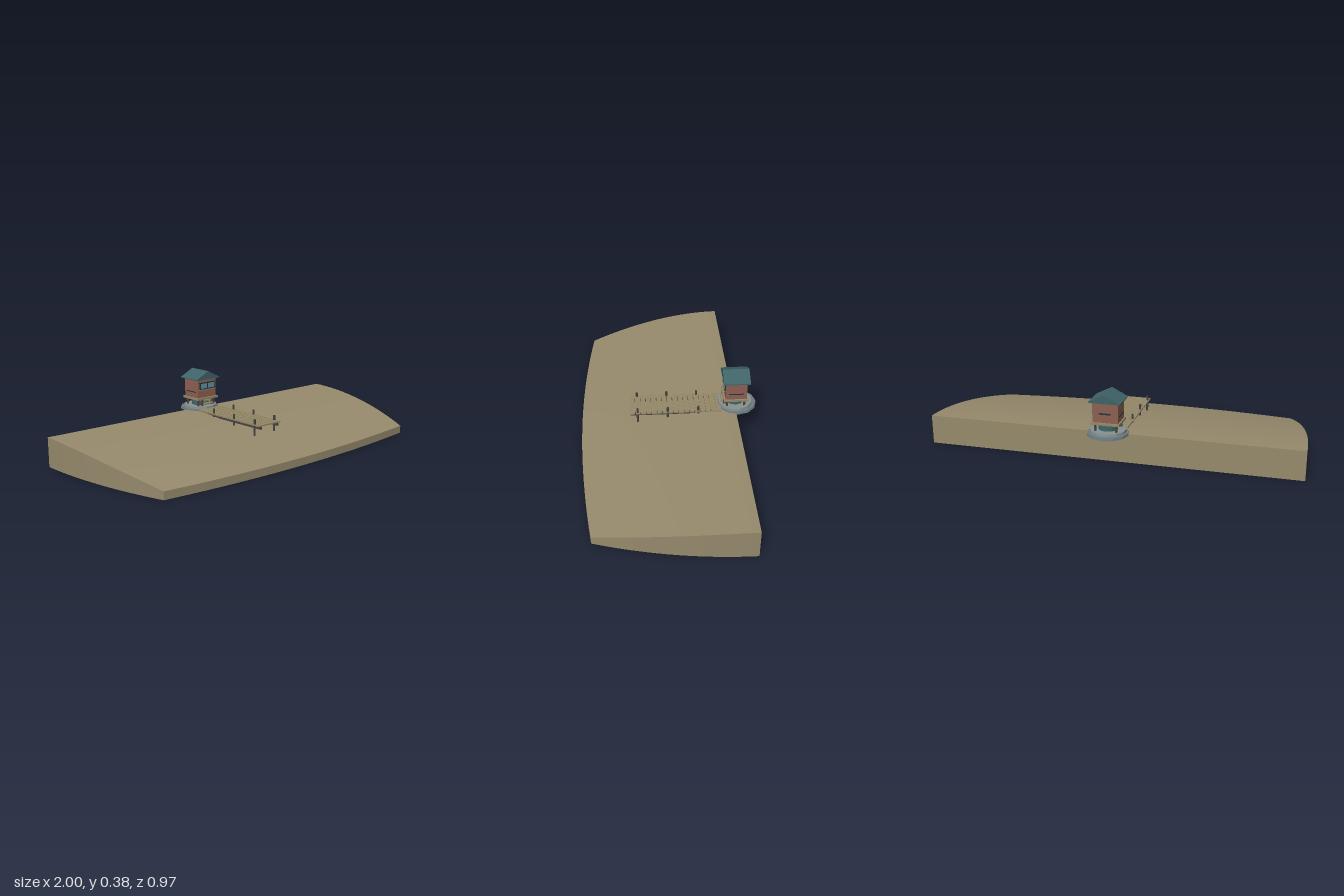
import * as THREE from 'three';
import { mergeGeometries, toCreasedNormals } from 'three/addons/utils/BufferGeometryUtils.js';

const mat = (name, color) => {
  const m = new THREE.MeshStandardMaterial({ color });
  m.name = name;
  return m;
};

// Grid of triangles over f(u, v); the surface faces along dv x du
function sheet(nu, nv, f) {
  const pos = [], idx = [];
  for (let i = 0; i <= nu; i++)
    for (let j = 0; j <= nv; j++) pos.push(...f(i / nu, j / nv));
  for (let i = 0; i < nu; i++)
    for (let j = 0; j < nv; j++) {
      const a = i * (nv + 1) + j, c = a + nv + 1;
      idx.push(a, a + 1, c, a + 1, c + 1, c);
    }
  const g = new THREE.BufferGeometry();
  g.setAttribute('position', new THREE.Float32BufferAttribute(pos, 3));
  g.setIndex(idx);
  return g;
}

// Slope height and outline: s runs across, t from back to front
const slopeY = (t) => 0.157 - 0.115 * Math.pow(t, 1.75);
const ground = (s, t, h) => {
  const u = s * 2 - 1;
  return [u * (1 - 0.13 * t * t), h * slopeY(t), -0.366 + t * (0.791 + 0.058 * (1 - u * u))];
};

export function createModel() {
  const M = {
    earth: mat('earth', 0x968a6c),
    plank: mat('plank wood', 0x958868),
    dark: mat('dark timber', 0x4a4442),
    stone: mat('stone', 0x6c7b80),
    paleStone: mat('pale stone', 0x84908f),
    wall: mat('red wall', 0x8e6052),
    roof: mat('teal roof', 0x3f6367),
    glass: mat('window glass', 0x5f92a8),
    slit: mat('dark trim', 0x22333a),
  };
  const model = new THREE.Group();
  const group = (name) => {
    const g = new THREE.Group();
    g.name = name;
    model.add(g);
    return g;
  };
  const add = (parent, name, geo, material, x = 0, y = 0, z = 0) => {
    const m = new THREE.Mesh(geo, material);
    m.name = name;
    m.position.set(x, y, z);
    parent.add(m);
    return m;
  };
  const box = (parent, name, material, w, h, d, x, y, z) =>
    add(parent, name, new THREE.BoxGeometry(w, h, d), material, x, y, z);

  // Sloping bank: top, underside and four walls
  const bank = mergeGeometries([
    sheet(32, 20, (u, v) => ground(u, v, 1)),
    sheet(20, 32, (u, v) => ground(v, u, 0)),
    sheet(1, 32, (u, v) => ground(v, 1, u)),
    sheet(32, 1, (u, v) => ground(u, 0, v)),
    sheet(20, 1, (u, v) => ground(1, u, v)),
    sheet(1, 20, (u, v) => ground(0, v, u)),
  ]);
  add(model, 'bank', toCreasedNormals(bank, 0.5), M.earth);

  // Boardwalk: planks, stringers and posts
  const walk = group('boardwalk');
  for (let i = 0; i < 17; i++)
    box(walk, 'plank', M.plank, 0.166, 0.007, 0.026, 0, 0.163, 0.2 - i * 0.0296);
  for (const x of [-0.062, 0.062])
    box(walk, 'stringer', M.dark, 0.012, 0.014, 0.47, x, 0.15, -0.022);
  for (const z of [0.173, 0.008, -0.159])
    for (const x of [-0.073, 0.073])
      add(walk, 'post', new THREE.CylinderGeometry(0.006, 0.006, 0.193, 8), M.dark, x, 0.0965, z);

  // Round stone footing in stepped courses
  const footing = group('footing');
  const course = (name, r, h, y, z, material, turn) => {
    const g = new THREE.CylinderGeometry(r, r * 1.02, h, 12).toNonIndexed();
    g.computeVertexNormals();
    add(footing, name, g, material, 0, y, z).rotation.y = turn;
  };
  course('lower course', 0.107, 0.013, 0.1595, -0.378, M.stone, 0);
  course('upper course', 0.094, 0.014, 0.172, -0.368, M.paleStone, 0.2);
  course('plinth', 0.05, 0.036, 0.196, -0.366, M.roof, 0.1);

  // Hut on short legs
  const hut = group('hut');
  const cz = -0.366;
  for (const x of [-0.056, 0.056])
    for (const z of [-0.048, 0.048])
      box(hut, 'leg', M.dark, 0.01, 0.04, 0.01, x, 0.197, cz + z);
  box(hut, 'floor', M.plank, 0.15, 0.012, 0.135, 0, 0.221, cz);
  box(hut, 'body', M.wall, 0.134, 0.102, 0.116, 0, 0.278, cz);
  box(hut, 'wall plate', M.plank, 0.14, 0.006, 0.122, 0, 0.331, cz);

  // Gabled roof with its ridge running front to back
  const gable = new THREE.Shape([
    new THREE.Vector2(-0.083, 0.332),
    new THREE.Vector2(0.083, 0.332),
    new THREE.Vector2(0.083, 0.338),
    new THREE.Vector2(0, 0.38),
    new THREE.Vector2(-0.083, 0.338),
  ]);
  add(hut, 'roof', new THREE.ExtrudeGeometry(gable, { depth: 0.145, bevelEnabled: false }),
    M.roof, 0, 0, cz - 0.0735);

  // Front window with frame, mullion and two panes
  const front = cz + 0.058;
  box(hut, 'window frame', M.slit, 0.112, 0.04, 0.006, 0, 0.295, front + 0.002);
  for (const x of [-0.026, 0.026])
    box(hut, 'window pane', M.glass, 0.045, 0.028, 0.003, x, 0.295, front + 0.0055);
  box(hut, 'window sill', M.plank, 0.116, 0.004, 0.008, 0, 0.273, front + 0.004);

  // Narrow slots on the sides and back
  for (const x of [-0.067, 0.067])
    box(hut, 'side slot', M.slit, 0.005, 0.005, 0.08, x, 0.26, cz);
  box(hut, 'back slot', M.slit, 0.06, 0.005, 0.012, 0, 0.276, cz - 0.062);

  // Steps from the boardwalk to the hut floor
  for (let i = 0; i < 2; i++)
    box(hut, 'step', M.plank, 0.07, 0.008, 0.022, 0, 0.19 + i * 0.015, front + 0.006 - i * 0.016);
  for (const x of [-0.036, 0.036])
    box(hut, 'step side', M.dark, 0.005, 0.034, 0.02, x, 0.196, front - 0.002);

  return model;
}
